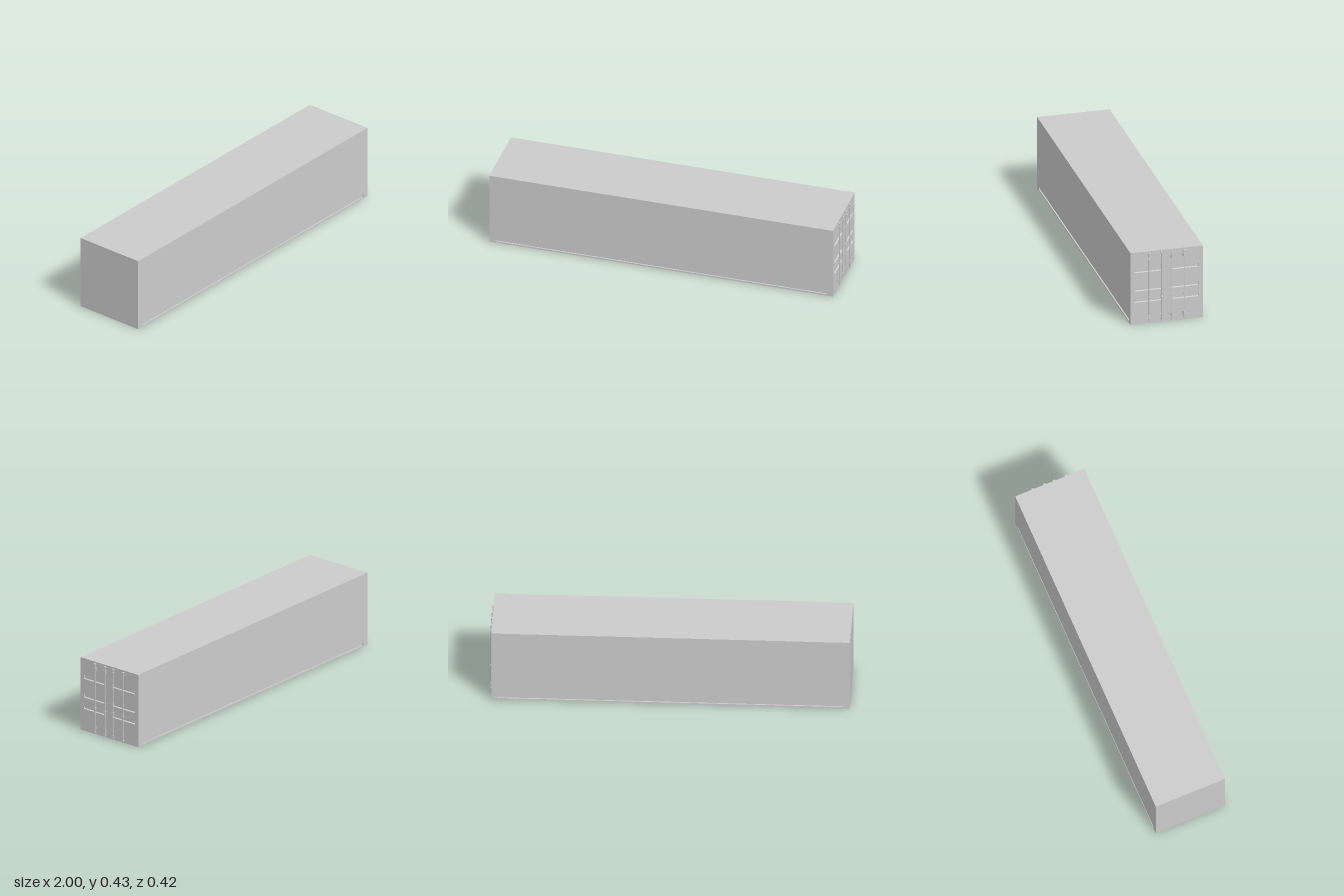
import * as THREE from 'three';

const L = 1.99, H = 0.431, W = 0.416, CX = -0.005, DOOR_X = 0.99;
const material = new THREE.MeshStandardMaterial({ color: 0xcccccc, flatShading: true });

function add(parent, name, geometry, x = 0, y = 0, z = 0) {
  const mesh = new THREE.Mesh(geometry, material);
  mesh.name = name;
  mesh.position.set(x, y, z);
  parent.add(mesh);
  return mesh;
}

// Corners of a rectangle, anticlockwise
function corners([u0, u1, v0, v1], inset = 0) {
  return [[u0 + inset, v0 + inset], [u1 - inset, v0 + inset],
    [u1 - inset, v1 - inset], [u0 + inset, v1 - inset]];
}

// Sunken tray: four walls and a floor behind an opening
function trayGeometry(rect, depth, inset) {
  const outer = corners(rect).map(([u, v]) => [u, v, 0]);
  const inner = corners(rect, inset).map(([u, v]) => [u, v, -depth]);
  const positions = [];
  const quad = (a, b, c, d) => positions.push(...a, ...b, ...c, ...a, ...c, ...d);
  for (let i = 0; i < 4; i++) {
    const j = (i + 1) % 4;
    quad(outer[i], outer[j], inner[j], inner[i]);
  }
  quad(...inner);
  const geometry = new THREE.BufferGeometry();
  geometry.setAttribute('position', new THREE.Float32BufferAttribute(positions, 3));
  geometry.computeVertexNormals();
  return geometry;
}

// Flat wall with sunken trays let into it
function wall(name, width, height, recesses = [], depth = 0, inset = 0) {
  const group = new THREE.Group();
  group.name = name;
  const toPoints = (rect) => corners(rect).map(([u, v]) => new THREE.Vector2(u, v));
  const shape = new THREE.Shape(toPoints([-width / 2, width / 2, -height / 2, height / 2]));
  for (const rect of recesses) {
    shape.holes.push(new THREE.Path(toPoints(rect).reverse()));
    add(group, 'recess', trayGeometry(rect, depth, inset));
  }
  add(group, 'panel', new THREE.ShapeGeometry(shape));
  return group;
}

// Vertical locking bar with its end cams, brackets and guide
function lockingBar(z) {
  const bar = new THREE.Group();
  bar.name = 'lockingBar';
  bar.position.set(DOOR_X, 0, z);
  add(bar, 'rod', new THREE.CylinderGeometry(0.0036, 0.0036, 0.405, 8), 0.005, H / 2, 0);
  for (const side of [-1, 1]) {
    const at = (offset) => H / 2 + side * offset;
    add(bar, 'endCam', new THREE.BoxGeometry(0.01, 0.006, 0.014), 0.005, at(0.203), 0);
    add(bar, 'camCollar', new THREE.CylinderGeometry(0.0045, 0.0045, 0.012, 8), 0.005, at(0.194), 0);
    add(bar, 'bracketPlate', new THREE.BoxGeometry(0.004, 0.02, 0.018), 0.002, at(0.175), 0);
    add(bar, 'bracketClamp', new THREE.BoxGeometry(0.009, 0.02, 0.009), 0.0053, at(0.175), 0);
  }
  add(bar, 'guide', new THREE.BoxGeometry(0.009, 0.009, 0.013), 0.005, 0.157, 0);
  return bar;
}

export function createModel() {
  const model = new THREE.Group();
  model.name = 'shippingContainer';

  // Long side walls with a groove along the bottom
  const groove = [-0.96, 0.96, 0.009 - H / 2, 0.026 - H / 2];
  for (const side of [1, -1]) {
    const sideWall = wall(side > 0 ? 'frontWall' : 'backWall', L, H, [groove], 0.008);
    sideWall.position.set(CX, H / 2, side * W / 2);
    sideWall.rotation.y = side > 0 ? 0 : Math.PI;
    model.add(sideWall);
  }

  // Roof and floor
  const roof = wall('roof', L, W);
  roof.position.set(CX, H, 0);
  roof.rotation.x = -Math.PI / 2;
  const floor = wall('floor', L, W);
  floor.position.set(CX, 0, 0);
  floor.rotation.x = Math.PI / 2;

  // Plain end wall
  const endWall = wall('endWall', W, H);
  endWall.position.set(-1, H / 2, 0);
  endWall.rotation.y = -Math.PI / 2;

  // Door end with three sunken panels on each leaf
  const rows = [[0.129, 0.148], [0.197, 0.221], [0.308, 0.331]];
  const slots = rows.flatMap(([low, high]) => [[-0.184, -0.024], [0.024, 0.184]]
    .map(([u0, u1]) => [u0, u1, low - H / 2, high - H / 2]));
  const doors = wall('doors', W, H, slots, 0.008, 0.003);
  doors.position.set(DOOR_X, H / 2, 0);
  doors.rotation.y = Math.PI / 2;

  model.add(roof, floor, endWall, doors);
  for (const z of [-0.101, -0.029, 0.029, 0.101]) model.add(lockingBar(z));
  return model;
}
